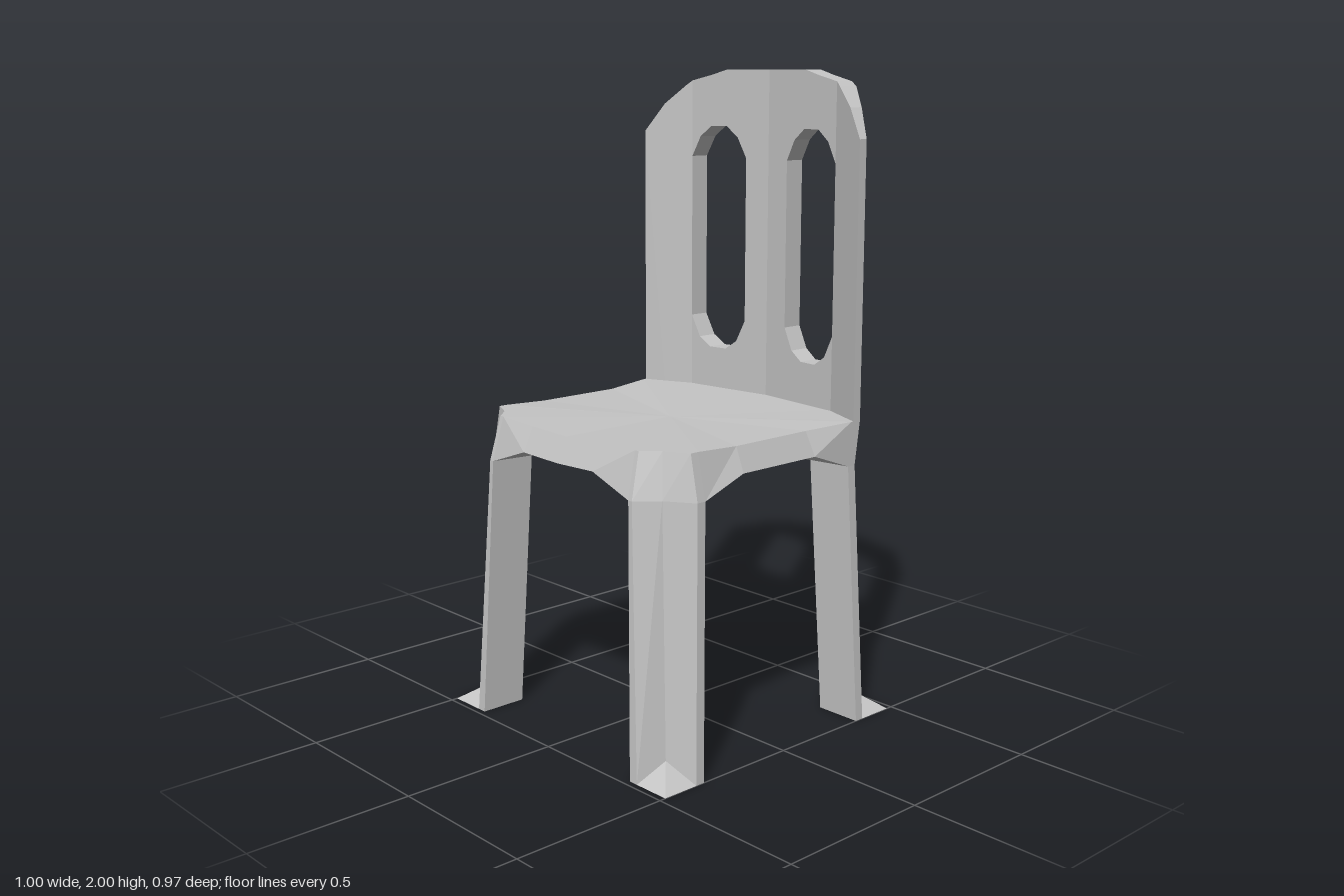
import * as THREE from 'three';

const grey = new THREE.MeshStandardMaterial({ color: 0xc4c4c4 });
grey.name = 'stone grey';

// Faceted mesh from polygons (fan split), mirrored by sx and sz with the winding kept outward
function facets(name, polys, sx = 1, sz = 1) {
  const pos = [];
  for (const p of polys) {
    for (let i = 1; i < p.length - 1; i++) {
      const tri = sx * sz > 0 ? [p[0], p[i], p[i + 1]] : [p[0], p[i + 1], p[i]];
      for (const [x, y, z] of tri) pos.push(x * sx, y, z * sz);
    }
  }
  const geo = new THREE.BufferGeometry();
  geo.setAttribute('position', new THREE.Float32BufferAttribute(pos, 3));
  geo.computeVertexNormals();
  const mesh = new THREE.Mesh(geo, grey);
  mesh.name = name;
  return mesh;
}

// Piecewise linear lookup in a list of [x, value]
function lerpAt(points, x) {
  let i = 1;
  while (i < points.length - 1 && x > points[i][0]) i++;
  const [a, b] = [points[i - 1], points[i]];
  return a[1] + (b[1] - a[1]) * (x - a[0]) / (b[0] - a[0]);
}

// Splayed leg with a notched outer corner that flares into a square foot
function legPolys() {
  const low = [[0.35, 0, 0.33], [0.35, 0, 0.48], [0.38, 0, 0.48],
    [0.415, 0.06, 0.4], [0.5, 0, 0.36], [0.5, 0, 0.33]];
  const high = [[0.315, 0.82, 0.3], [0.315, 0.82, 0.45], [0.33, 0.82, 0.45],
    [0.385, 0.82, 0.385], [0.47, 0.82, 0.33], [0.47, 0.82, 0.3]];
  const toe = [0.5, 0, 0.48];
  const polys = low.map((p, i) => {
    const j = (i + 1) % low.length;
    return [p, low[j], high[j], high[i]];
  });
  polys.push([low[3], low[2], toe], [low[3], toe, low[4]]);
  polys.push([low[0], low[5], toe, low[1]]);
  return polys;
}

// Half of the seat slab: upper and lower outlines from front centre to back centre
function seatPolys() {
  const upper = [[0, 0.945, 0.415], [0.16, 0.95, 0.415], [0.305, 0.957, 0.415], [0.32, 0.957, 0.415],
    [0.365, 0.957, 0.365], [0.44, 0.957, 0.328], [0.44, 0.957, 0.3], [0.44, 0.95, 0.15],
    [0.44, 0.95, -0.14], [0.47, 0.957, -0.31], [0.47, 0.957, -0.35], [0.405, 0.957, -0.4],
    [0.335, 0.957, -0.455], [0.315, 0.957, -0.458], [0.1, 0.957, -0.485], [0, 0.957, -0.485]];
  const lower = [[0, 0.87, 0.45], [0.16, 0.875, 0.45], [0.315, 0.82, 0.45], [0.33, 0.82, 0.45],
    [0.385, 0.82, 0.385], [0.47, 0.82, 0.33], [0.47, 0.82, 0.3], [0.47, 0.875, 0.15],
    [0.47, 0.875, -0.15], [0.47, 0.82, -0.3], [0.47, 0.82, -0.33], [0.385, 0.82, -0.385],
    [0.33, 0.82, -0.45], [0.315, 0.82, -0.45], [0.1, 0.82, -0.45], [0, 0.82, -0.45]];
  const under = lower.map(([x, , z]) => [x * 0.6, 0.872, z * 0.6]);
  const polys = [];
  for (let i = 0; i < upper.length - 1; i++) {
    const j = i + 1;
    polys.push([lower[i], lower[j], upper[j], upper[i]]);
    polys.push([[0, 0.945, 0], upper[i], upper[j]]);
    polys.push([lower[j], lower[i], under[i], under[j]]);
    polys.push([[0, 0.872, 0], under[j], under[i]]);
  }
  return polys;
}

// Half of the curved backrest, built column by column around one tall opening
function backPolys() {
  const frontZ = [[0, -0.425], [0.315, -0.39], [0.47, -0.32]];
  const backZ = [[0, -0.485], [0.1, -0.485], [0.335, -0.455], [0.405, -0.4], [0.47, -0.35]];
  const base = 0.955;
  // x, top, opening bottom, opening top
  const columns = [[0, 2], [0.09, 2, 1.19, 1.72], [0.125, 2, 1.12, 1.785], [0.17, 2, 1.09, 1.82],
    [0.235, 1.983, 1.09, 1.82], [0.28, 1.973, 1.12, 1.785], [0.315, 1.965, 1.19, 1.72],
    [0.335, 1.95], [0.405, 1.89], [0.47, 1.8]];
  const front = (x, y) => [x, y, lerpAt(frontZ, x)];
  const back = (x, y) => [x, y, lerpAt(backZ, x)];
  const wall = (x, y0, y1) => [front(x, y0), back(x, y0), back(x, y1), front(x, y1)];
  const polys = [];
  const block = (xa, a0, a1, xb, b0, b1) => {
    polys.push([front(xa, a0), front(xb, b0), front(xb, b1), front(xa, a1)]);
    polys.push([back(xb, b0), back(xa, a0), back(xa, a1), back(xb, b1)]);
    polys.push([front(xa, a1), front(xb, b1), back(xb, b1), back(xa, a1)]);
    polys.push([back(xa, a0), back(xb, b0), front(xb, b0), front(xa, a0)]);
  };
  for (let i = 0; i < columns.length - 1; i++) {
    const [xa, ta, la, ha] = columns[i];
    const [xb, tb, lb, hb] = columns[i + 1];
    if (la && lb) {
      block(xa, base, la, xb, base, lb);
      block(xa, ha, ta, xb, hb, tb);
    } else {
      block(xa, base, ta, xb, base, tb);
    }
  }
  polys.push(wall(0.09, 1.19, 1.72), wall(0.315, 1.19, 1.72).reverse(), wall(0.47, base, 1.8));
  return polys;
}

export function createModel() {
  const chair = new THREE.Group();
  chair.name = 'chair';
  for (const [side, sx] of [['left', 1], ['right', -1]]) {
    chair.add(facets(side + 'Seat', seatPolys(), sx));
    chair.add(facets(side + 'Backrest', backPolys(), sx));
    chair.add(facets(side + 'FrontLeg', legPolys(), sx, 1));
    chair.add(facets(side + 'BackLeg', legPolys(), sx, -1));
  }
  return chair;
}
